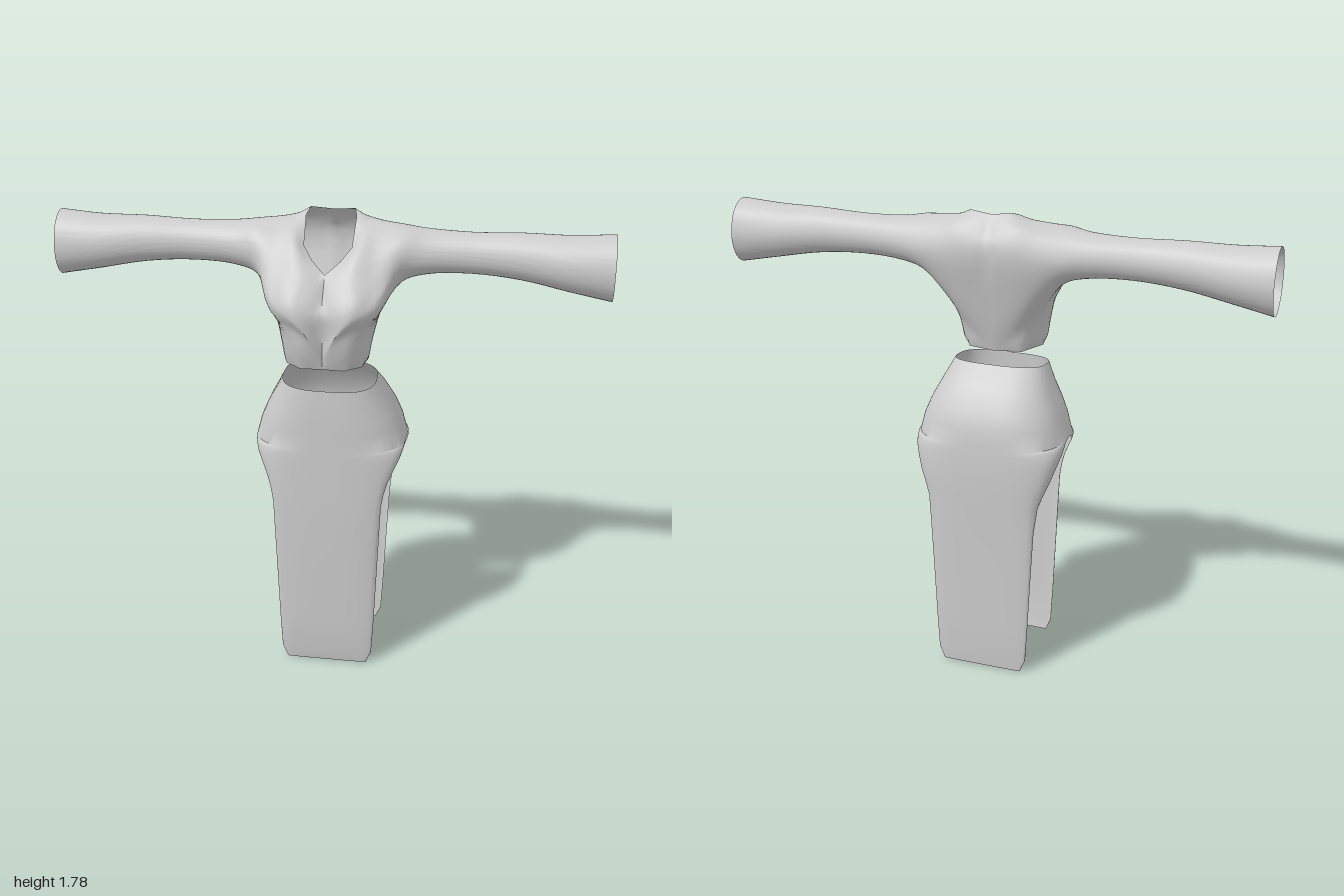
import * as THREE from 'three';
import { mergeGeometries, mergeVertices, toCreasedNormals } from 'three/addons/utils/BufferGeometryUtils.js';

const material = new THREE.MeshStandardMaterial({ color: 0xcccccc, side: THREE.DoubleSide });

// Skins rows of points into a surface; flip reverses the facing.
function skin(rows, flip = false) {
  const n = rows[0].length, index = [];
  for (let i = 0; i < rows.length - 1; i++) {
    for (let j = 0; j < n - 1; j++) {
      const a = i * n + j, b = a + n, c = a + 1, d = b + 1;
      if (flip) index.push(a, c, b, c, d, b);
      else index.push(a, b, c, c, b, d);
    }
  }
  const geo = new THREE.BufferGeometry();
  geo.setAttribute('position', new THREE.Float32BufferAttribute(rows.flat().flatMap(p => [p.x, p.y, p.z]), 3));
  geo.setIndex(index);
  return geo;
}

function makeMesh(name, parts, crease) {
  const geo = toCreasedNormals(mergeVertices(mergeGeometries(parts), 1e-4), crease);
  const mesh = new THREE.Mesh(geo, material);
  mesh.name = name;
  return mesh;
}

// Half bodice: edge loop (hem, front centre, neckline, back centre) ...
const edgeLoop = [
  [.15, 1.265, .04], [.137, 1.265, .125], [.08, 1.265, .172], [0, 1.265, .17],
  [0, 1.37, .18], [0, 1.48, .2], [0, 1.6, .115], [.05, 1.64, .08],
  [.085, 1.68, .04], [.09, 1.765, -.045], [.08, 1.783, -.09], [0, 1.775, -.1],
  [0, 1.68, -.168], [0, 1.5, -.14], [0, 1.265, -.08], [.1, 1.265, -.06],
];
// ... loop over the bust and shoulder blade ...
const bustLoop = [
  [.167, 1.36, .03], [.152, 1.36, .13], [.105, 1.37, .19], [.06, 1.4, .21],
  [.09, 1.46, .23], [.11, 1.52, .218], [.09, 1.6, .155], [.1, 1.66, .1],
  [.115, 1.7, .055], [.13, 1.755, -.045], [.12, 1.76, -.09], [.1, 1.74, -.14],
  [.1, 1.66, -.173], [.1, 1.5, -.14], [.09, 1.36, -.09], [.13, 1.36, -.06],
];
// ... and loop around the armhole.
const armLoop = [
  [.2, 1.47, 0], [.195, 1.46, .07], [.19, 1.465, .13], [.185, 1.48, .17],
  [.185, 1.515, .175], [.18, 1.56, .15], [.17, 1.62, .11], [.17, 1.66, .08],
  [.17, 1.71, .03], [.18, 1.75, -.045], [.18, 1.745, -.09], [.18, 1.72, -.135],
  [.18, 1.65, -.165], [.18, 1.55, -.145], [.18, 1.48, -.105], [.19, 1.455, -.05],
];
// Angles of the loop points around the sleeve, from below towards the front.
const angles = [0, 20, 40, 58, 75, 95, 115, 133, 155, 180, 205, 232, 270, 300, 322, 342];
// Sleeve sections: x, bottom, top, back, front
const sleeve = [
  [.26, 1.54, 1.742, -.155, .06], [.34, 1.567, 1.73, -.142, .03],
  [.5, 1.577, 1.724, -.127, .015], [.68, 1.563, 1.73, -.134, .025],
  [.85, 1.53, 1.73, -.145, .043], [1, 1.5, 1.74, -.155, .047],
];

function topRows() {
  const vec = p => new THREE.Vector3(...p);
  const rings = [edgeLoop, bustLoop, armLoop].map(r => r.map(vec));
  for (const [x, y0, y1, z0, z1] of sleeve) {
    rings.push(angles.map(deg => {
      const a = THREE.MathUtils.degToRad(deg);
      return new THREE.Vector3(x,
        (y0 + y1) / 2 - Math.cos(a) * (y1 - y0) / 2,
        (z0 + z1) / 2 + Math.sin(a) * (z1 - z0) / 2);
    }));
  }
  const curves = angles.map((_, k) => new THREE.CatmullRomCurve3(rings.map(r => r[k])));
  const steps = (rings.length - 1) * 4, sub = 4, rows = [];
  for (let i = 0; i <= steps; i++) {
    const ring = curves.map(c => c.getPoint(i / steps));
    const loop = new THREE.CatmullRomCurve3(ring, true);
    const row = [];
    for (let j = 0; j <= 16 * sub; j++) {
      const k = Math.floor(j / sub) % 16, f = (j % sub) / sub;
      // The outer edge stays straight between its points
      const p = i === 0
        ? ring[k].clone().lerp(ring[(k + 1) % 16], f)
        : loop.getPoint((j % (16 * sub)) / (16 * sub));
      p.x = Math.max(0, p.x);
      row.push(p);
    }
    rows.push(row);
  }
  return rows;
}

// Skirt sections: y, then half width, outer z and side-edge z of front and of back
const skirt = [
  [1.19, .172, .16, .045, .172, -.07, .045],
  [1.125, .203, .163, .01, .203, -.145, .01],
  [1.06, .238, .165, -.01, .238, -.195, -.01],
  [1.0, .263, .165, -.015, .263, -.214, -.015],
  [.935, .28, .165, -.015, .28, -.222, -.015],
  [.93, .279, .165, .012, .281, -.222, -.045],
  [.915, .276, .165, .038, .281, -.223, -.07],
  [.89, .267, .165, .065, .278, -.224, -.095],
  [.85, .248, .165, .095, .266, -.225, -.12],
  [.8, .226, .165, .118, .25, -.225, -.143],
  [.75, .212, .165, .13, .23, -.224, -.16],
  [.7, .204, .165, .134, .213, -.222, -.172],
  [.6, .2, .164, .134, .203, -.218, -.187],
  [.4, .192, .16, .134, .193, -.212, -.19],
  [.2, .184, .154, .135, .184, -.208, -.192],
  [.05, .176, .15, .136, .176, -.204, -.193],
  [0, .155, .14, .137, .155, -.198, -.195],
];

// One skirt panel: half a rounded box section per row, with a sloping waist.
function panelRows(side) {
  const o = side > 0 ? 1 : 4, n = 32, power = .7;
  return skirt.map((s, i) => {
    const [w, zo, ze] = s.slice(o, o + 3), row = [];
    for (let j = 0; j <= n; j++) {
      const a = Math.PI * j / n, c = Math.cos(a);
      const x = -side * w * Math.sign(c) * Math.abs(c) ** power;
      const z = ze + (zo - ze) * Math.max(0, Math.sin(a)) ** power;
      const tilt = [.13, .06][i] || 0;
      row.push(new THREE.Vector3(x, s[0] - tilt * (z - .045), z));
    }
    return row;
  });
}

export function createModel() {
  const model = new THREE.Group();
  model.name = 'twoPieceDress';

  // Cropped top with long sleeves, mirrored about the centre
  const half = topRows();
  const mirrored = half.map(r => r.map(p => new THREE.Vector3(-p.x, p.y, p.z)));
  model.add(makeMesh('sleevedTop', [skin(half), skin(mirrored, true)], 1.0));

  // Long skirt with high side slits
  const skirtMesh = makeMesh('slitSkirt', [skin(panelRows(1)), skin(panelRows(-1))], .6);
  skirtMesh.position.x = .01;
  model.add(skirtMesh);
  return model;
}
